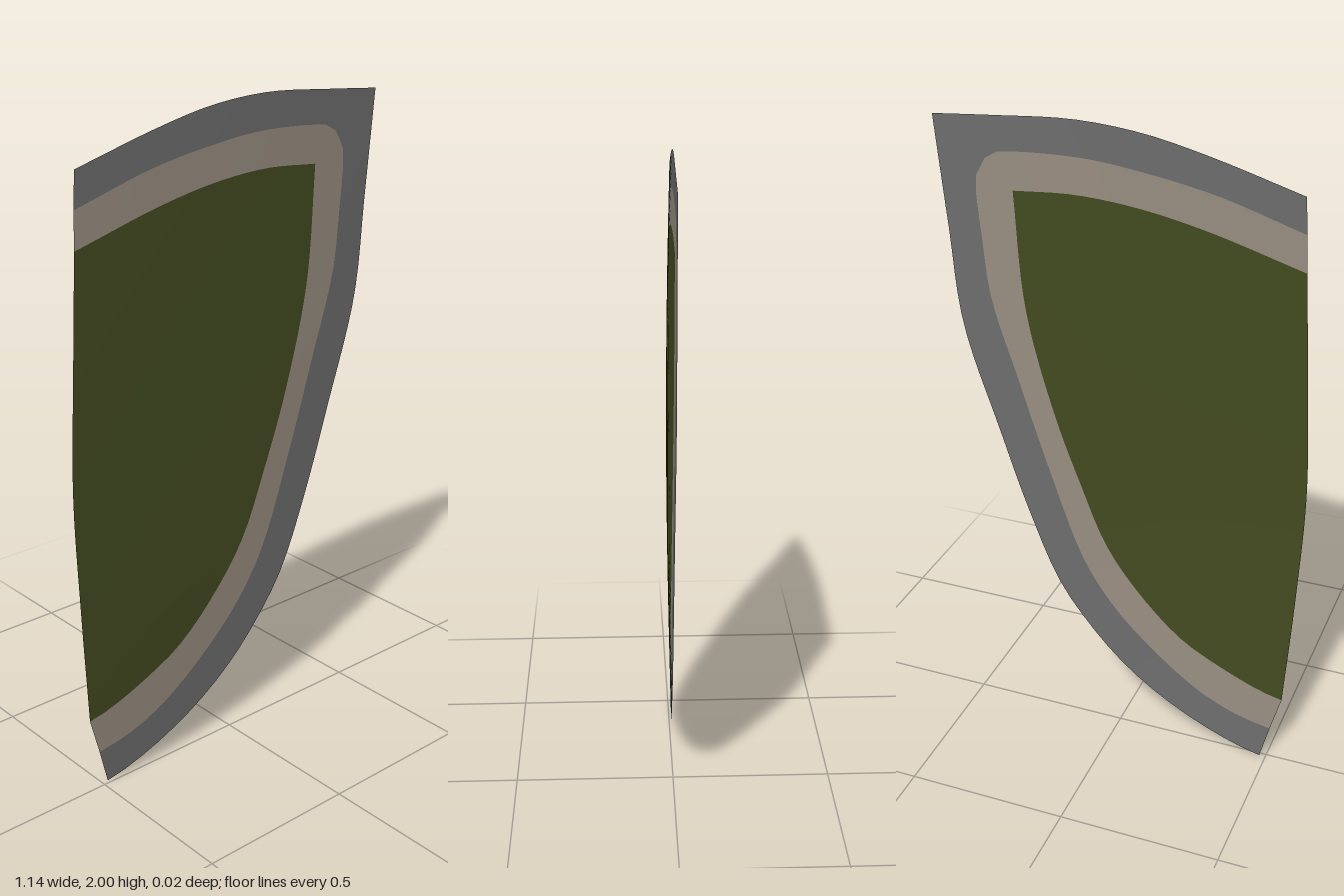
import * as THREE from 'three';

// Gentle warp: the sheet's left corners bend backwards
const bend = (x, y) => {
  const l = THREE.MathUtils.clamp((0.57 - x) / 1.14, 0, 1);
  return 0.009 - 0.016 * l * (y - 1) ** 2 - 0.007 * l ** 4;
};

const sample = (pts, n) => new THREE.CatmullRomCurve3(
  pts.map(([x, y]) => new THREE.Vector3(x, y, 0))).getSpacedPoints(n);

// A contour runs up the curved side to the corner, then back along the top
const contour = (side, top) => [...sample(side, 36), ...sample(top, 20).slice(1)];

// Surface lofted between two contours of equal length
function loft(name, outer, inner, rows, material) {
  const pos = [], index = [], n = outer.length;
  for (let r = 0; r <= rows; r++) {
    for (let i = 0; i < n; i++) {
      const p = outer[i].clone().lerp(inner[i], r / rows);
      pos.push(p.x, p.y, bend(p.x, p.y));
      if (r < rows && i < n - 1) {
        const a = r * n + i, b = a + n;
        index.push(a, a + 1, b, a + 1, b + 1, b);
      }
    }
  }
  const g = new THREE.BufferGeometry();
  g.setAttribute('position', new THREE.Float32BufferAttribute(pos, 3));
  g.setIndex(index);
  g.computeVertexNormals();
  const mesh = new THREE.Mesh(g, material);
  mesh.name = name;
  return mesh;
}

function paint(name, color) {
  const m = new THREE.MeshStandardMaterial({ color, side: THREE.DoubleSide });
  m.name = name;
  return m;
}

export function createModel() {
  const group = new THREE.Group();
  group.name = 'curvedPanel';

  const rim = contour(
    [[-0.48, 0], [-0.4, 0.018], [-0.26, 0.07], [-0.12, 0.145], [0, 0.235], [0.11, 0.35], [0.21, 0.49],
      [0.31, 0.73], [0.4, 1], [0.505, 1.34], [0.537, 1.65], [0.568, 1.97]],
    [[0.568, 1.97], [0.38, 1.985], [0.14, 2], [-0.06, 1.985], [-0.25, 1.945], [-0.52, 1.87]]);
  const seam = contour(
    [[-0.508, 0.115], [-0.4, 0.135], [-0.26, 0.195], [-0.06, 0.35], [0.05, 0.47], [0.13, 0.6],
      [0.24, 0.9], [0.33, 1.18], [0.41, 1.44], [0.43, 1.62], [0.442, 1.77], [0.435, 1.82], [0.41, 1.86]],
    [[0.41, 1.86], [0.38, 1.88], [0.33, 1.888], [0.12, 1.895], [-0.04, 1.88], [-0.27, 1.84], [-0.528, 1.765]]);
  const field = contour(
    [[-0.54, 0.235], [-0.47, 0.25], [-0.33, 0.305], [-0.2, 0.375], [-0.05, 0.52], [0.05, 0.66],
      [0.13, 0.85], [0.22, 1.1], [0.3, 1.42], [0.327, 1.775]],
    [[0.327, 1.775], [0.14, 1.787], [-0.05, 1.773], [-0.25, 1.735], [-0.533, 1.657]]);
  const leftEdge = sample(
    [[-0.54, 0.235], [-0.56, 0.6], [-0.572, 0.98], [-0.553, 1.35], [-0.533, 1.657]], field.length - 1);

  // Border, inset band and central field
  group.add(
    loft('outerBorder', rim, seam, 2, paint('grey', 0x6e6e6e)),
    loft('innerBand', seam, field, 2, paint('taupe', 0x9a8f82)),
    loft('centralField', field, leftEdge, 8, paint('olive', 0x434b20)));
  return group;
}
